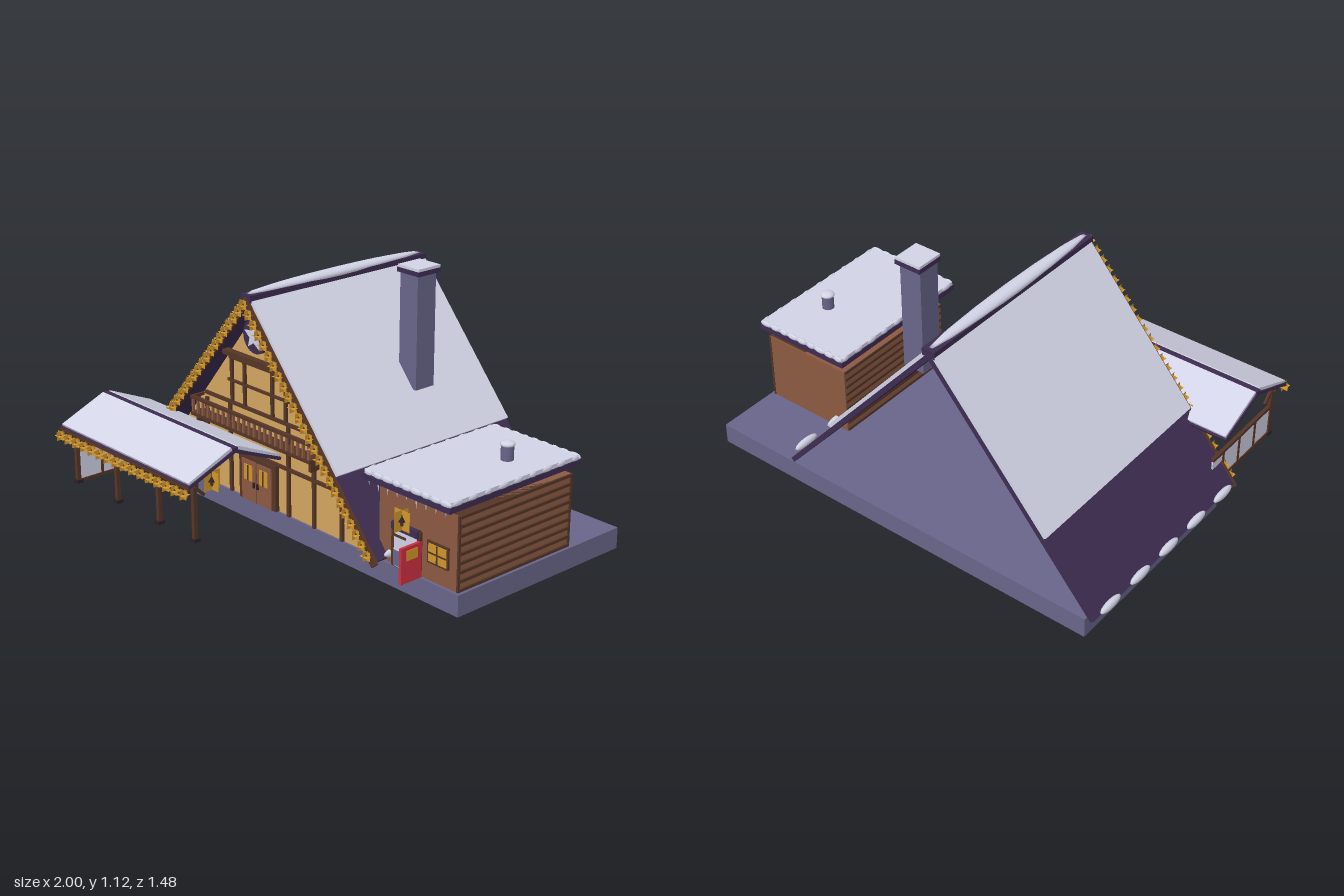
import * as THREE from 'three';
import { mergeGeometries } from 'three/addons/utils/BufferGeometryUtils.js';

const material = (name, color, side = THREE.FrontSide) => {
  const m = new THREE.MeshStandardMaterial({ color, side });
  m.name = name;
  return m;
};

export function createModel() {
  const stone = material('slate stone', 0x69658a);
  const snow = material('snow', 0xd2d3e6, THREE.DoubleSide);
  const roofing = material('dark purple roofing', 0x3d2c50);
  const plaster = material('ochre plaster', 0xd4a660);
  const timber = material('dark timber', 0x553527);
  const wood = material('brown wood', 0x8c5a42);
  const glow = material('amber glow', 0xd0962c, THREE.DoubleSide);
  const red = material('red paint', 0xcc3040);
  const iron = material('dark iron', 0x2c2026);

  const root = new THREE.Group();
  root.name = 'chalet';

  const add = (name, geo, mat, x = 0, y = 0, z = 0) => {
    const m = new THREE.Mesh(geo, mat);
    m.name = name;
    m.position.set(x, y, z);
    root.add(m);
    return m;
  };
  // box given by its min and max on each axis
  const box = (name, mat, x0, x1, y0, y1, z0, z1) =>
    add(name, new THREE.BoxGeometry(x1 - x0, y1 - y0, z1 - z0), mat, (x0 + x1) / 2, (y0 + y1) / 2, (z0 + z1) / 2);
  // sloping slab between two points; run is the axis its length starts along
  const slab = (name, mat, p, q, thick, width, run) => {
    const a = new THREE.Vector3(...p), b = new THREE.Vector3(...q);
    const len = a.distanceTo(b), dir = b.clone().sub(a).normalize();
    const geo = run === 'x' ? new THREE.BoxGeometry(len, thick, width) : new THREE.BoxGeometry(width, thick, len);
    const m = add(name, geo, mat);
    m.position.copy(a).add(b).multiplyScalar(0.5);
    const axis = run === 'x' ? new THREE.Vector3(1, 0, 0) : new THREE.Vector3(0, 0, 1);
    if (axis.dot(dir) < 0) dir.negate();
    m.quaternion.setFromUnitVectors(axis, dir);
    return m;
  };
  const ball = new THREE.SphereGeometry(1, 14, 10);
  const mound = (name, x, y, z, rx, ry, rz) => add(name, ball, snow, x, y, z).scale.set(rx, ry, rz);
  // crossed square panes around a small bulb
  const panes = (s, flat) => mergeGeometries([
    new THREE.PlaneGeometry(s, s),
    new THREE.PlaneGeometry(s, s).rotateY(Math.PI / 2),
    ...(flat ? [new THREE.PlaneGeometry(s, s).rotateX(Math.PI / 2)] : []),
  ]);
  const bulbGlow = panes(0.04, true), lampGlow = panes(0.085, false);
  const bulbCore = new THREE.SphereGeometry(0.006, 6, 5);
  const bulb = (x, y, z) => {
    add('lightGlow', bulbGlow, glow, x, y, z);
    add('lightBulb', bulbCore, timber, x, y, z);
  };
  const lantern = (x, y, z) => {
    add('lanternGlow', lampGlow, glow, x, y, z);
    add('lanternCap', new THREE.ConeGeometry(0.022, 0.022, 6), iron, x, y + 0.008, z);
    add('lanternBody', new THREE.CylinderGeometry(0.013, 0.008, 0.024, 6), timber, x, y - 0.012, z);
  };

  box('foundation', stone, -0.935, 0.985, 0, 0.093, -0.732, 0.213);

  // Steep main roof, open at the back
  const cx = -0.195, apexY = 1.022, eaveY = 0.112, half = 0.785;
  const roofPoint = (s, t, out, z) => [cx + s * (half * t + out * 0.757), apexY + (eaveY - apexY) * t + out * 0.653, z];
  for (const s of [-1, 1]) {
    slab('roofPanel', roofing, roofPoint(s, 0, -0.012, -0.235), roofPoint(s, 1, -0.012, -0.235), 0.022, 1.0, 'x');
    slab('roofSnow', snow, roofPoint(s, 0.01, 0.006, -0.235), roofPoint(s, 0.69, 0.006, -0.235), 0.016, 0.995, 'x');
    slab('bargeBoard', timber, roofPoint(s, 0, -0.016, 0.27), roofPoint(s, 1.01, -0.016, 0.27), 0.035, 0.014, 'x');
    for (let i = 0; i < 25; i++) {
      const [x, y, z] = roofPoint(s, 0.02 + i * 0.0395, -0.018, 0.285);
      bulb(x, y, z);
    }
    for (let i = 0; i < 5; i++) mound('eaveSnow', cx + s * 0.79, 0.13, -0.635 + i * 0.2, 0.016, 0.02, 0.065);
  }
  box('ridgeBeam', roofing, cx - 0.03, cx + 0.03, 1.0, 1.032, -0.735, 0.272);
  mound('ridgeSnow', cx, 1.034, -0.23, 0.033, 0.022, 0.5);

  // Front gable with half-timbering
  const gable = new THREE.Shape([[-0.71, 0.093], [0.71, 0.093], [0, 0.96]].map(p => new THREE.Vector2(...p)));
  add('gableWall', new THREE.ExtrudeGeometry(gable, { depth: 0.02, bevelEnabled: false }), plaster, cx, 0, 0.183);
  const beam = (x0, x1, y0, y1, z1 = 0.215) => box('timberBeam', timber, x0, x1, y0, y1, 0.2, z1);
  beam(cx - 0.205, cx + 0.205, 0.722, 0.742, 0.235);
  beam(cx - 0.19, cx + 0.19, 0.702, 0.714);
  beam(cx - 0.54, cx + 0.54, 0.298, 0.312);
  beam(cx - 0.36, cx + 0.36, 0.498, 0.512);
  for (const d of [0.09, 0.175]) for (const s of [-1, 1]) beam(cx + s * d - 0.007, cx + s * d + 0.007, 0.5, 0.71);
  for (const d of [0.19, 0.35, 0.52]) for (const s of [-1, 1]) beam(cx + s * d - 0.008, cx + s * d + 0.008, 0.093, Math.min(0.5, 0.91 - d * 1.22));
  beam(cx - 0.2, cx + 0.2, 0.6, 0.61);

  // Star medallion
  add('medallion', new THREE.CylinderGeometry(0.075, 0.075, 0.02, 28).rotateX(Math.PI / 2), roofing, cx, 0.843, 0.215);
  const star = new THREE.Shape(Array.from({ length: 10 }, (_, i) => {
    const r = i % 2 ? 0.026 : 0.06, a = Math.PI / 2 + i * Math.PI / 5;
    return new THREE.Vector2(r * Math.cos(a), r * Math.sin(a));
  }));
  add('star', new THREE.ExtrudeGeometry(star, { depth: 0.008, bevelEnabled: false }), snow, cx, 0.843, 0.225);

  // Balcony
  box('balconyFloor', timber, cx - 0.39, cx + 0.39, 0.405, 0.42, 0.2, 0.27);
  box('balconyRail', timber, cx - 0.39, cx + 0.39, 0.482, 0.495, 0.255, 0.272);
  for (let i = 0; i <= 22; i++) {
    const x = cx - 0.38 + i * 0.76 / 22;
    box('baluster', wood, x - 0.005, x + 0.005, 0.42, 0.482, 0.258, 0.268);
  }
  for (const s of [-1, 1]) {
    box('balconyBracket', timber, cx + s * 0.37 - 0.008, cx + s * 0.37 + 0.008, 0.36, 0.405, 0.2, 0.25);
    box('balconyEndRail', timber, cx + s * 0.384 - 0.006, cx + s * 0.384 + 0.006, 0.482, 0.495, 0.2, 0.26);
  }

  // Double front door
  box('doorFrame', timber, cx - 0.12, cx + 0.12, 0.093, 0.298, 0.2, 0.222);
  for (const s of [-1, 1]) {
    const x = cx + s * 0.05;
    box('doorLeaf', wood, x - 0.046, x + 0.046, 0.096, 0.28, 0.205, 0.228);
    box('doorWindow', glow, x - 0.026, x + 0.026, 0.19, 0.26, 0.226, 0.232);
    box('doorMuntin', timber, x - 0.003, x + 0.003, 0.19, 0.26, 0.228, 0.235);
    box('doorHandle', iron, cx + s * 0.012 - 0.004, cx + s * 0.012 + 0.004, 0.165, 0.19, 0.226, 0.236);
  }

  // Chimney
  box('chimney', stone, 0.11, 0.213, 0.588, 1.09, -0.415, -0.31);
  box('chimneyCap', roofing, 0.098, 0.225, 1.085, 1.105, -0.432, -0.302);
  box('chimneySnow', snow, 0.1, 0.223, 1.105, 1.117, -0.43, -0.304);

  // Porch roof, posts and lights
  const px0 = -0.945, px1 = -0.035, pm = (px0 + px1) / 2, pw = px1 - px0;
  for (const [z, y] of [[0.705, 0.35], [0.225, 0.35]]) {
    slab('porchRoof', roofing, [pm, 0.447, 0.465], [pm, y, z], 0.014, pw, 'z');
    const dz = z - 0.465;
    slab('porchSnow', snow, [pm, 0.458, 0.465 + dz * 0.06], [pm, y + 0.013, z - dz * 0.02], 0.014, pw - 0.012, 'z');
  }
  box('porchRidge', roofing, px0, px1, 0.448, 0.462, 0.452, 0.478);
  box('porchFascia', timber, px0, px1, 0.34, 0.354, 0.7, 0.708);
  for (let i = 0; i < 16; i++) bulb(px0 + 0.018 + i * (pw - 0.036) / 15, 0.323, 0.72);
  box('porchBeam', timber, -0.93, -0.05, 0.335, 0.352, 0.645, 0.663);
  for (const x of [-0.905, -0.605, -0.31, -0.07]) {
    box('porchPost', timber, x - 0.009, x + 0.009, 0.095, 0.34, 0.646, 0.664);
    box('postFoot', iron, x - 0.015, x + 0.015, 0.093, 0.108, 0.64, 0.67);
    slab('postBrace', timber, [x, 0.335, 0.655], [x, 0.285, 0.605], 0.012, 0.012, 'z');
  }
  for (const x of [-0.75, -0.46, cx]) {
    lantern(x, 0.27, 0.465);
    box('lanternCord', iron, x - 0.002, x + 0.002, 0.28, 0.447, 0.463, 0.467);
  }

  // Glazed screen on the left end of the porch
  box('screenPane', snow, -0.908, -0.902, 0.105, 0.24, 0.2, 0.65);
  for (const y of [0.095, 0.236]) box('screenRail', timber, -0.913, -0.897, y, y + 0.014, 0.2, 0.655);
  for (const z of [0.28, 0.405, 0.53]) box('screenPost', timber, -0.912, -0.898, 0.1, 0.245, z - 0.006, z + 0.006);

  // Annex with battened side walls
  box('annexWalls', wood, 0.535, 0.965, 0.093, 0.41, -0.44, 0.2);
  for (let i = 0; i <= 8; i++) {
    const y = 0.1 + i * 0.038;
    box('sideBatten', timber, 0.53, 0.973, y - 0.006, y + 0.006, -0.435, 0.195);
  }
  for (const z of [-0.437, 0.196]) box('annexCorner', timber, 0.962, 0.971, 0.093, 0.41, z - 0.005, z + 0.005);
  box('annexRoof', roofing, 0.523, 0.995, 0.45, 0.474, -0.462, 0.282);
  box('annexSnow', snow, 0.528, 0.99, 0.474, 0.492, -0.455, 0.276);
  for (let i = 0; i < 9; i++) {
    const x = 0.55 + i * 0.052, z = -0.43 + i * 0.083, r = 0.022 + (i % 3) * 0.005;
    mound('edgeSnow', x, 0.482, 0.274, r, 0.014, 0.01);
    mound('edgeSnow', x, 0.482, -0.453, r, 0.014, 0.01);
    mound('edgeSnow', 0.987, 0.482, z, 0.009, 0.014, r);
    mound('edgeSnow', 0.531, 0.482, z, 0.009, 0.014, r);
    const len = 0.02 + (i * 7 % 4) * 0.006;
    add('icicle', new THREE.ConeGeometry(0.004, len, 5).rotateX(Math.PI), snow, x, 0.45 - len / 2, 0.272);
  }
  add('vent', new THREE.CylinderGeometry(0.027, 0.027, 0.07, 12), stone, 0.832, 0.522, -0.205);
  mound('ventSnow', 0.832, 0.558, -0.205, 0.031, 0.014, 0.031);

  // Annex doorway with open red door
  box('doorwayFrame', timber, 0.615, 0.775, 0.093, 0.282, 0.19, 0.212);
  box('doorwayInside', snow, 0.632, 0.758, 0.096, 0.255, 0.206, 0.214);
  box('doorwayHood', roofing, 0.622, 0.768, 0.255, 0.285, 0.2, 0.222);
  box('counter', stone, 0.632, 0.735, 0.1, 0.165, 0.208, 0.217);
  box('shelf', timber, 0.632, 0.7, 0.225, 0.235, 0.208, 0.218);
  box('redDoor', red, 0.765, 0.778, 0.093, 0.245, 0.205, 0.315);
  box('redDoorWindow', glow, 0.762, 0.781, 0.188, 0.23, 0.228, 0.288);
  lantern(0.697, 0.317, 0.235);
  box('lanternArm', iron, 0.694, 0.7, 0.333, 0.339, 0.2, 0.237);

  // Annex window
  box('windowFrame', timber, 0.808, 0.922, 0.17, 0.264, 0.198, 0.207);
  box('windowPane', glow, 0.817, 0.913, 0.179, 0.255, 0.204, 0.21);
  box('windowMuntin', timber, 0.862, 0.868, 0.179, 0.255, 0.206, 0.213);
  box('windowMuntin', timber, 0.817, 0.913, 0.214, 0.22, 0.206, 0.213);

  return root;
}
